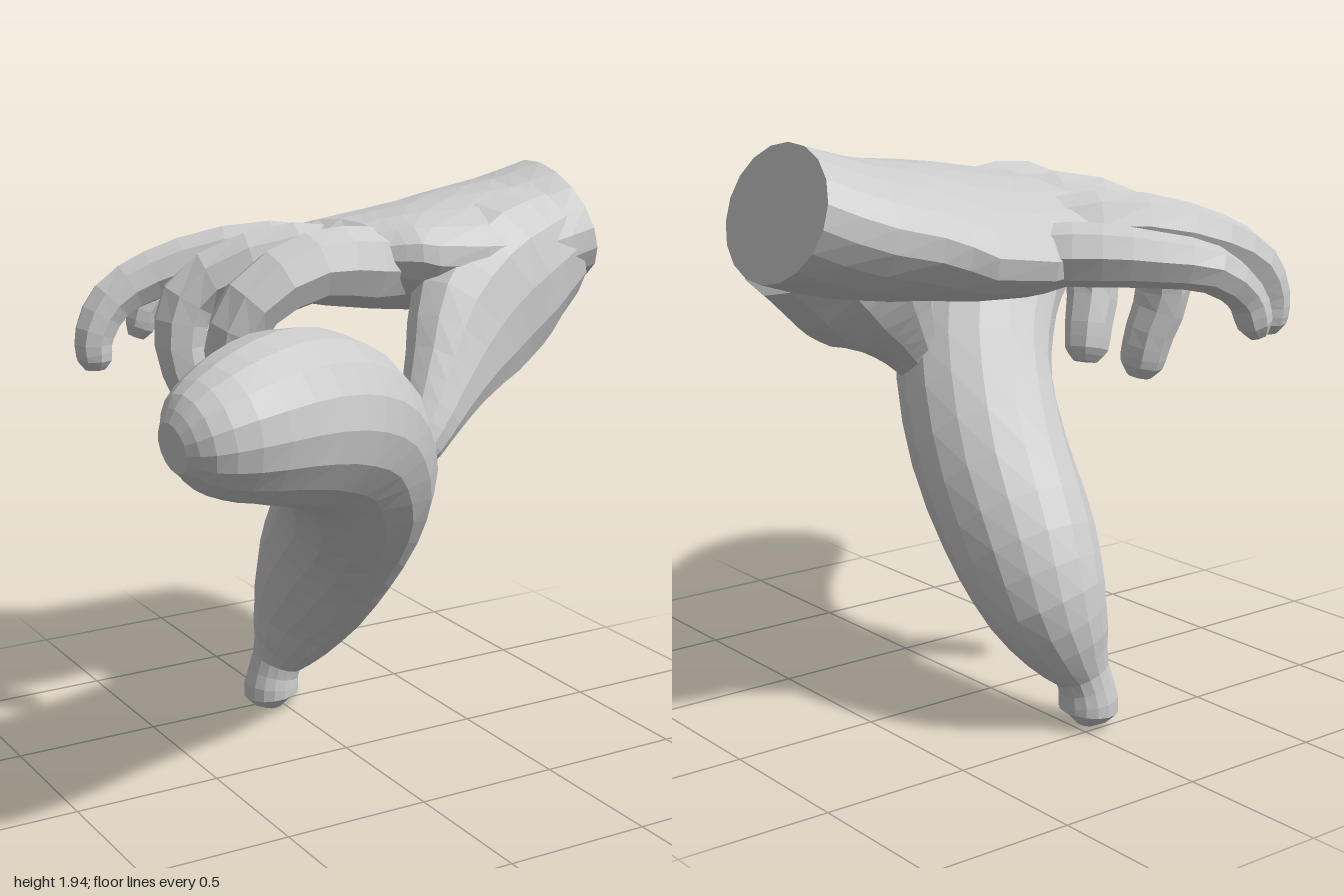
import * as THREE from 'three';

const material = new THREE.MeshStandardMaterial({
  color: 0xcccccc, flatShading: true, side: THREE.DoubleSide,
});

// Sweep an elliptical section along a smooth path.
// Each station is [x, y, z, radius, sideRadius = radius, tilt = 0].
function sweep(name, stations, hint, rings, sides) {
  const path = new THREE.CatmullRomCurve3(stations.map(s => new THREE.Vector3(s[0], s[1], s[2])));
  const size = new THREE.CatmullRomCurve3(
    stations.map(s => new THREE.Vector3(s[3], s[4] ?? s[3], s[5] ?? 0)));
  const positions = [], index = [];
  for (let i = 0; i <= rings; i++) {
    const u = i / rings;
    const p = path.getPoint(u), t = path.getTangent(u), r = size.getPoint(u);
    const side = new THREE.Vector3().crossVectors(t, hint).normalize();
    const up = new THREE.Vector3().crossVectors(side, t);
    side.applyAxisAngle(t, r.z);
    up.applyAxisAngle(t, r.z);
    for (let j = 0; j < sides; j++) {
      const a = (j / sides) * Math.PI * 2;
      const v = p.clone().addScaledVector(up, r.x * Math.cos(a)).addScaledVector(side, r.y * Math.sin(a));
      positions.push(v.x, v.y, v.z);
      if (i < rings) {
        const k = i * sides + j, n = i * sides + (j + 1) % sides;
        index.push(k, n, k + sides, n, n + sides, k + sides);
      }
    }
  }
  // Flat caps
  const last = rings * sides;
  for (let j = 1; j < sides - 1; j++) {
    index.push(0, j + 1, j, last, last + j, last + j + 1);
  }
  const g = new THREE.BufferGeometry();
  g.setAttribute('position', new THREE.Float32BufferAttribute(positions, 3));
  g.setIndex(index);
  const flat = g.toNonIndexed();
  flat.computeVertexNormals();
  const mesh = new THREE.Mesh(flat, material);
  mesh.name = name;
  return mesh;
}

export function createModel() {
  const model = new THREE.Group();
  model.name = 'handHoldingFruit';

  // Curved fruit, from the stem at the ground to the rounded tip
  model.add(sweep('fruit', [
    [-0.04, 0.01, -0.45, 0.03],
    [-0.05, 0.07, -0.455, 0.1],
    [-0.035, 0.17, -0.45, 0.09],
    [0.01, 0.28, -0.42, 0.145],
    [0.06, 0.44, -0.36, 0.21],
    [0.07, 0.62, -0.25, 0.245],
    [0.04, 0.85, -0.05, 0.26],
    [-0.07, 1.07, 0.18, 0.265],
    [-0.24, 1.25, 0.37, 0.27],
    [-0.45, 1.36, 0.545, 0.268],
    [-0.63, 1.405, 0.655, 0.25],
    [-0.8, 1.41, 0.725, 0.21],
    [-0.925, 1.4, 0.75, 0.15],
    [-0.985, 1.39, 0.755, 0.075],
  ], new THREE.Vector3(0.4, 0, 0.9), 30, 16));

  const hand = new THREE.Group();
  hand.name = 'hand';
  model.add(hand);

  // Wrist and palm, rolled towards the little finger and thinning at the knuckles
  hand.add(sweep('palm', [
    [0.945, 1.74, -0.2, 0.21, 0.31, -0.08],
    [0.75, 1.685, -0.22, 0.21, 0.36, 0],
    [0.5, 1.66, -0.23, 0.2, 0.4, 0.1],
    [0.25, 1.645, -0.28, 0.17, 0.41, 0.2],
    [0.06, 1.655, -0.27, 0.14, 0.34, 0.2],
    [-0.08, 1.67, -0.22, 0.07, 0.22, 0.12],
  ], new THREE.Vector3(0, 1, 0), 10, 18));

  // Thumb with a broad web and fleshy base, pressing on the near side of the fruit
  const zAxis = new THREE.Vector3(0, 0, 1);
  hand.add(sweep('thumb', [
    [0.82, 1.68, -0.07, 0.18, 0.22],
    [0.6, 1.585, 0, 0.195, 0.28],
    [0.43, 1.465, 0.075, 0.165, 0.26],
    [0.28, 1.32, 0.165, 0.125, 0.165],
    [0.17, 1.2, 0.23, 0.1, 0.105],
    [0.1, 1.125, 0.25, 0.09, 0.085],
    [0.06, 1.09, 0.25, 0.05, 0.045],
  ], zAxis, 14, 12));

  // Fingers: base and tip radius, then joints from inside the palm to the tip
  const fingers = [
    ['indexFinger', 0.14, 0.08, [[0.3, 1.64, -0.1], [0.08, 1.675, -0.035], [-0.12, 1.69, -0.015],
      [-0.33, 1.59, -0.025], [-0.39, 1.42, -0.06], [-0.34, 1.25, -0.1], [-0.31, 1.13, -0.12]]],
    ['middleFinger', 0.12, 0.08, [[0.26, 1.66, -0.18], [-0.1, 1.685, -0.265], [-0.37, 1.57, -0.37],
      [-0.42, 1.4, -0.375], [-0.38, 1.24, -0.35], [-0.36, 1.11, -0.33]]],
    ['ringFinger', 0.11, 0.07, [[0.3, 1.64, -0.38], [-0.06, 1.665, -0.52], [-0.36, 1.6, -0.64],
      [-0.53, 1.51, -0.675], [-0.6, 1.39, -0.675], [-0.6, 1.28, -0.67]]],
    ['littleFinger', 0.11, 0.062, [[0.34, 1.6, -0.5], [0.16, 1.6, -0.64], [0, 1.585, -0.76],
      [-0.17, 1.55, -0.855], [-0.31, 1.45, -0.865], [-0.355, 1.33, -0.875]]],
  ];
  for (const [name, base, tip, joints] of fingers) {
    const stations = joints.map((p, i) =>
      [...p, THREE.MathUtils.lerp(base, tip, Math.min(i / (joints.length - 2), 1))]);
    // Narrow root buried in the palm
    stations[0][3] = base * 0.7;
    // Blunt fingertip: full width almost to the end
    const [a, end] = stations.slice(-2);
    const nearTip = a.map((v, k) => THREE.MathUtils.lerp(v, end[k], 0.65));
    nearTip[3] = tip * 0.92;
    end[3] = tip * 0.5;
    stations.splice(-1, 0, nearTip);
    hand.add(sweep(name, stations, zAxis, 14, 8));
  }

  return model;
}
